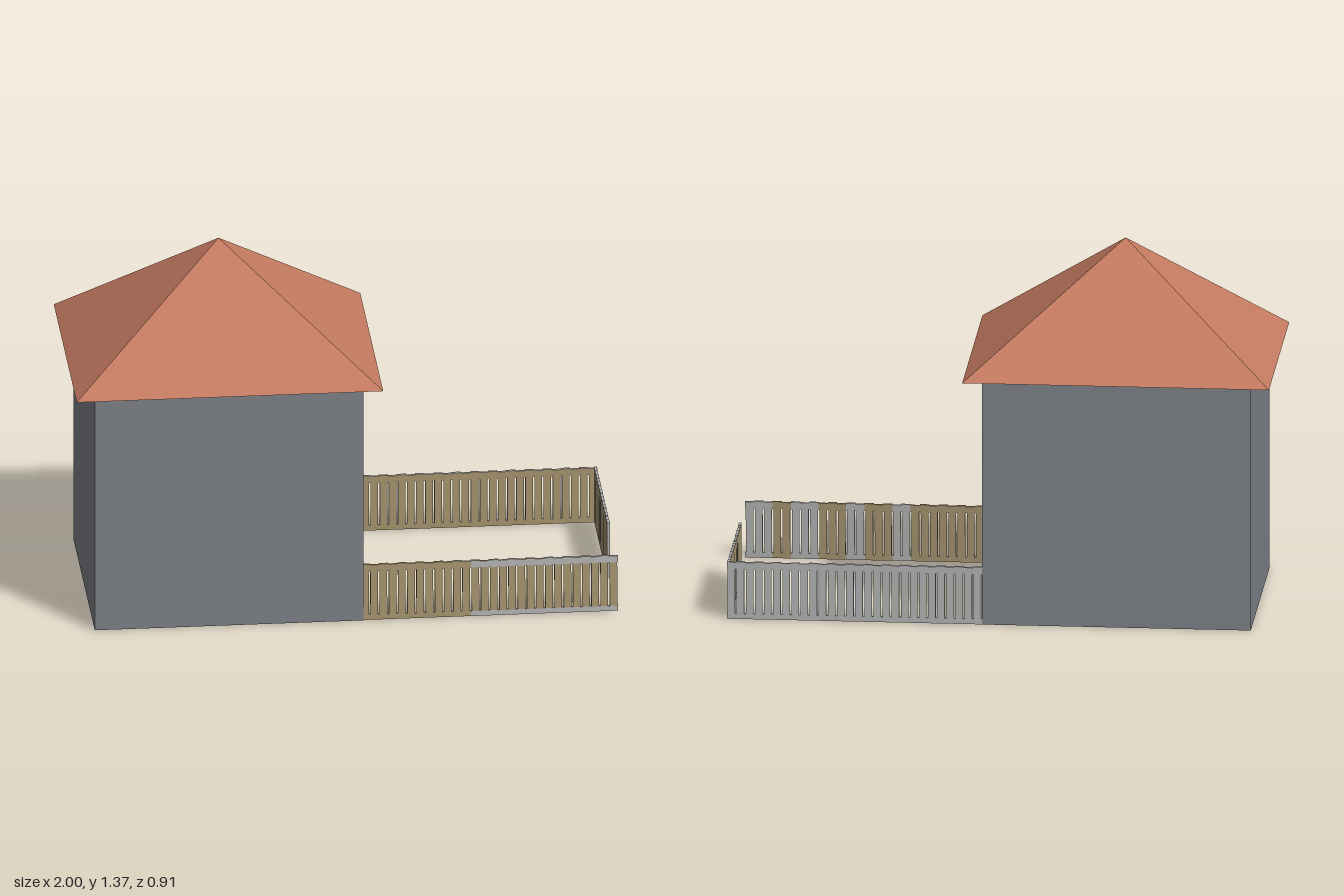
import * as THREE from 'three';

const flat = (name, color) => {
  const m = new THREE.MeshStandardMaterial({ color });
  m.name = name;
  return m;
};

export function createModel() {
  const wall = flat('wall grey', 0x7f848a);
  const tile = flat('roof terracotta', 0xc47b61);
  const glass = flat('window blue', 0x8ba5c1);
  const wood = flat('wood tan', 0xa89670);
  const pale = flat('pale grey', 0xb6b6b6);
  const model = new THREE.Group();
  model.name = 'houseWithFence';

  const add = (parent, name, geometry, material, x = 0, y = 0, z = 0) => {
    const mesh = new THREE.Mesh(geometry, material);
    mesh.name = name;
    mesh.position.set(x, y, z);
    parent.add(mesh);
    return mesh;
  };
  // box given by its limits on each axis
  const block = (parent, name, material, x0, x1, y0, y1, z0, z1) =>
    add(parent, name, new THREE.BoxGeometry(x1 - x0, y1 - y0, z1 - z0), material,
      (x0 + x1) / 2, (y0 + y1) / 2, (z0 + z1) / 2);

  // House body, with a separate pierced wall facing +x
  const face = 0.06, reveal = 0.03, inner = face - reveal;
  block(model, 'houseBody', wall, -0.93, inner, 0, 0.93, -0.418, 0.418);

  const windows = [ // z0, z1, y0, y1
    [0.075, 0.245, 0.51, 0.82], [-0.26, -0.09, 0.51, 0.82],
    [0.1, 0.245, 0.145, 0.38], [-0.26, -0.115, 0.145, 0.38],
  ];
  const door = [-0.09, 0.075, 0, 0.47];

  // Outline in (-z, y), notched at the bottom for the doorway
  const outline = new THREE.Shape([
    [-0.418, 0], [-door[1], 0], [-door[1], door[3]], [-door[0], door[3]],
    [-door[0], 0], [0.418, 0], [0.418, 0.93], [-0.418, 0.93],
  ].map(([x, y]) => new THREE.Vector2(x, y)));
  for (const [z0, z1, y0, y1] of windows) {
    outline.holes.push(new THREE.Path(
      [[-z1, y0], [-z1, y1], [-z0, y1], [-z0, y0]].map(([x, y]) => new THREE.Vector2(x, y))));
  }
  const pierced = new THREE.ExtrudeGeometry(outline, { depth: reveal, bevelEnabled: false });
  pierced.rotateY(Math.PI / 2);
  add(model, 'piercedWall', pierced, wall, inner);

  // Window panes, transom, door and door fittings
  for (const [z0, z1, y0, y1] of windows) {
    block(model, 'windowPane', glass, inner, inner + 0.004, y0, y1, z0, z1);
  }
  block(model, 'doorTransom', wood, inner, inner + 0.004, 0.38, door[3], door[0], door[1]);
  block(model, 'door', wood, inner, face - 0.008, 0, 0.38, door[0], door[1]);
  block(model, 'doorFitting', pale, inner, face - 0.004, 0.385, 0.41, 0.045, 0.072);
  block(model, 'doorHandle', pale, inner, face, 0.215, 0.235, 0.04, 0.062);

  // Pyramid roof with eaves
  const pyramid = new THREE.ConeGeometry(Math.SQRT1_2, 0.44, 4, 1).toNonIndexed();
  pyramid.rotateY(Math.PI / 4);
  pyramid.scale(1.13, 1, 0.912);
  pyramid.computeVertexNormals();
  add(model, 'roof', pyramid, tile, -0.435, 1.15, 0);

  // Slatted fence along local x; sides(t) gives the +z and -z materials at distance t
  function fence(name, length, sides) {
    const group = new THREE.Group();
    group.name = name;
    const half = 0.005, count = Math.round(length / 0.034), pitch = length / count;
    for (let i = 0; i < count; i++) {
      const x0 = i * pitch, x1 = x0 + pitch;
      const [front, back, rail = front] = sides(x0 + pitch / 2);
      const skin = f => [back, back, back, back, f, back];
      block(group, 'slat', skin(front), x0 + 0.003, x1 - 0.003, 0.02, 0.19, -half, half);
      block(group, 'bottomRail', skin(rail), x0, x1, 0, 0.02, -half, half);
      block(group, 'topRail', skin(rail), x0, x1, 0.19, i % 2 ? 0.215 : 0.218, -half, half);
    }
    model.add(group);
    return group;
  }

  // Front fence: weathered patches inside, pale rails on its far half
  const patches = [[0, 0.4], [0.46, 0.56], [0.64, 0.74], [0.82, 0.9]];
  const front = fence('frontFence', 0.95, t => {
    const x = t + 0.05;
    const tan = patches.some(([a, b]) => x > a && x < b);
    return [wood, tan ? wood : pale, x > 0.47 ? pale : wood];
  });
  front.position.set(0.05, 0, 0.41);
  front.rotation.x = -0.04;

  const back = fence('backFence', 0.94, () => [wood, pale]);
  back.position.set(0.06, 0, -0.412);

  const end = fence('endFence', 0.525, () => [wood, pale]);
  end.position.set(0.993, 0, -0.417);
  end.rotation.y = -Math.PI / 2;

  return model;
}
